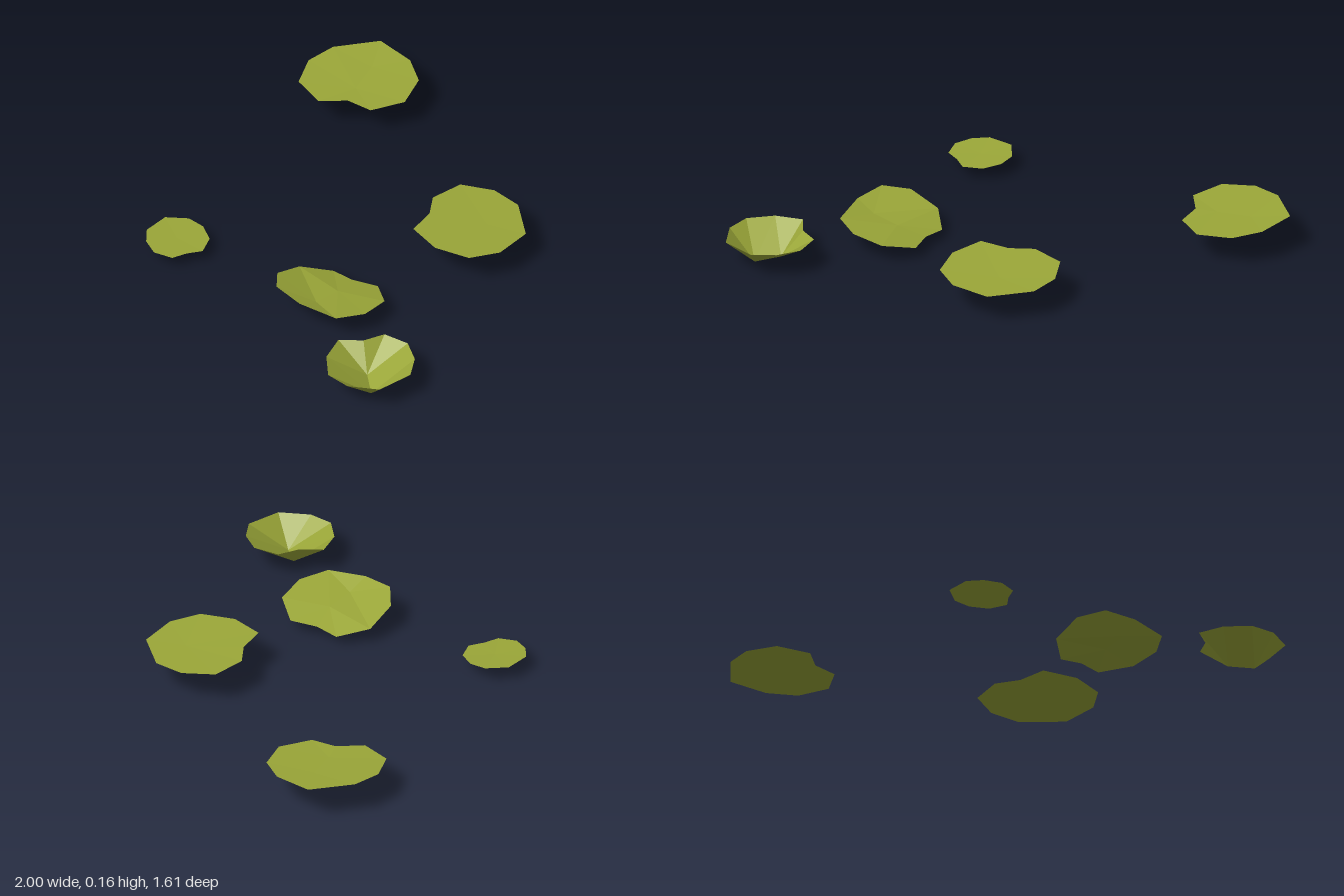
import * as THREE from 'three';

const leafGreen = new THREE.MeshStandardMaterial({ color: 0x9aa638, side: THREE.DoubleSide, flatShading: true });
leafGreen.name = 'leaf green';

// Directions of the ten rim corners, in degrees from the notch, shared by all pads
const rimAngles = [0, 33, 70, 104, 136, 182, 221, 252, 288, 327];

// Each pad: centre, direction of the notch, rim radii, slope along x and z, twist,
// and the one or two points its facets fold towards
const pads = [
  {
    name: 'backLeftPad', centre: [-0.76, 0.146, -0.556], notch: 55.4, slope: [-0.042, -0.035], twist: 0,
    radii: [0.141, 0.217, 0.253, 0.249, 0.245, 0.276, 0.256, 0.257, 0.244, 0.205],
    core: [[-0.8, 0.146, -0.66], [-0.73, 0.138, -0.52]],
  },
  {
    name: 'backRightPad', centre: [0.305, 0.148, -0.317], notch: 142.2, slope: [-0.03, 0.035], twist: 0,
    radii: [0.158, 0.207, 0.253, 0.252, 0.255, 0.267, 0.261, 0.263, 0.238, 0.233],
    core: [[0.37, 0.14, -0.38]],
  },
  {
    name: 'middlePad', centre: [0.283, 0.09, 0.39], notch: 255, slope: [0.06, 0.22], twist: -0.5,
    radii: [0.154, 0.216, 0.244, 0.242, 0.24, 0.2, 0.23, 0.236, 0.228, 0.197],
    core: [[0.3, 0.08, 0.36], [0.32, 0.093, 0.49]],
  },
  {
    name: 'smallLeftPad', centre: [-0.42, 0.062, 0.665], notch: 15, slope: [-0.06, 0], twist: 0,
    radii: [0.1, 0.127, 0.136, 0.135, 0.143, 0.154, 0.149, 0.141, 0.136, 0.129],
    core: [[-0.43, 0.06, 0.66]],
  },
  {
    name: 'cuppedPad', centre: [0.807, 0.12, 0.573], notch: 204.4, slope: [-0.02, -0.03], twist: 0,
    radii: [0.128, 0.176, 0.189, 0.189, 0.203, 0.212, 0.207, 0.208, 0.187, 0.188],
    core: [[0.775, 0.012, 0.565], [0.875, 0, 0.62]],
  },
];

// Rim corners, clockwise from above, lying on the pad's tilted and twisted plane
function padRim({ centre: [x, y, z], notch, slope, twist, radii }) {
  return radii.map((radius, i) => {
    const angle = THREE.MathUtils.degToRad(notch + rimAngles[i]);
    const dx = radius * Math.cos(angle);
    const dz = radius * Math.sin(angle);
    return [x + dx, y + slope[0] * dx + slope[1] * dz + twist * dx * dz, z + dz];
  });
}

// Joins every rim edge to its nearest core point, bridging where that point changes
function padGeometry(pad) {
  const rim = padRim(pad);
  const flatDistance = (a, b) => Math.hypot(a[0] - b[0], a[2] - b[2]);
  const nearest = (p) => pad.core.reduce((best, c) => (flatDistance(c, p) < flatDistance(best, p) ? c : best));
  const points = [];
  rim.forEach((p, i) => {
    const q = rim[(i + 1) % rim.length];
    const a = nearest(p);
    const b = nearest(q);
    points.push(a, q, p);
    if (a !== b) points.push(a, b, q);
  });
  const geometry = new THREE.BufferGeometry();
  geometry.setAttribute('position', new THREE.Float32BufferAttribute(points.flat(), 3));
  geometry.computeVertexNormals();
  return geometry;
}

export function createModel() {
  const group = new THREE.Group();
  group.name = 'lilyPads';
  for (const pad of pads) {
    const mesh = new THREE.Mesh(padGeometry(pad), leafGreen);
    mesh.name = pad.name;
    group.add(mesh);
  }
  return group;
}
